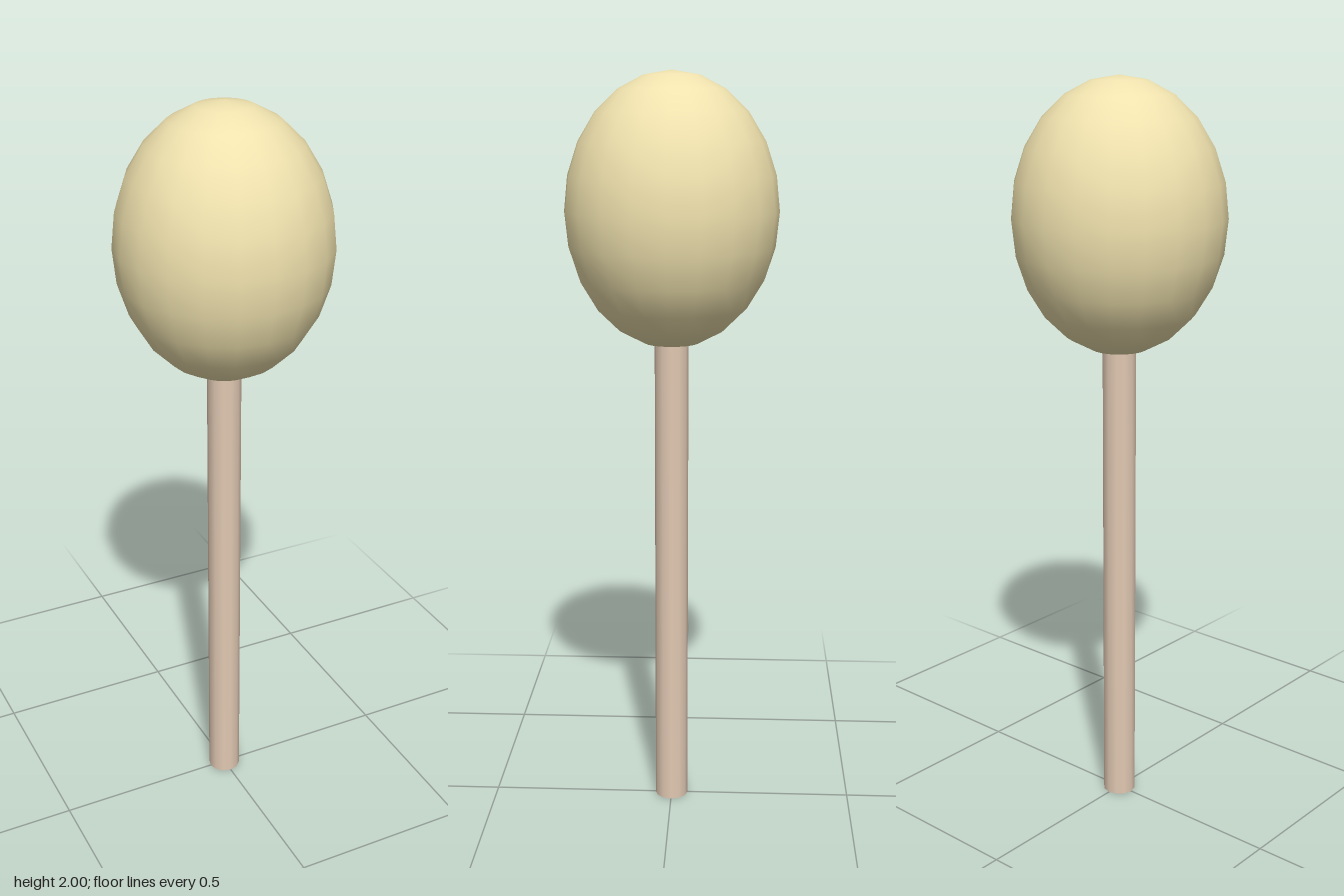
import * as THREE from 'three';

export function createModel() {
  const model = new THREE.Group();

  const addPart = (name, geometry, color, y) => {
    const mesh = new THREE.Mesh(geometry, new THREE.MeshStandardMaterial({ color }));
    mesh.name = name;
    mesh.position.y = y;
    model.add(mesh);
  };

  // Straight round stick, its top end set slightly into the head
  const stickHeight = 1.32;
  addPart('stick', new THREE.CylinderGeometry(0.045, 0.045, stickHeight, 12), 0xe2c9b3, stickHeight / 2);

  // Egg-like head: a sphere stretched upwards
  const head = new THREE.SphereGeometry(1, 20, 12).scale(0.28, 0.355, 0.28);
  addPart('head', head, 0xf0e2ae, 1.645);

  return model;
}
